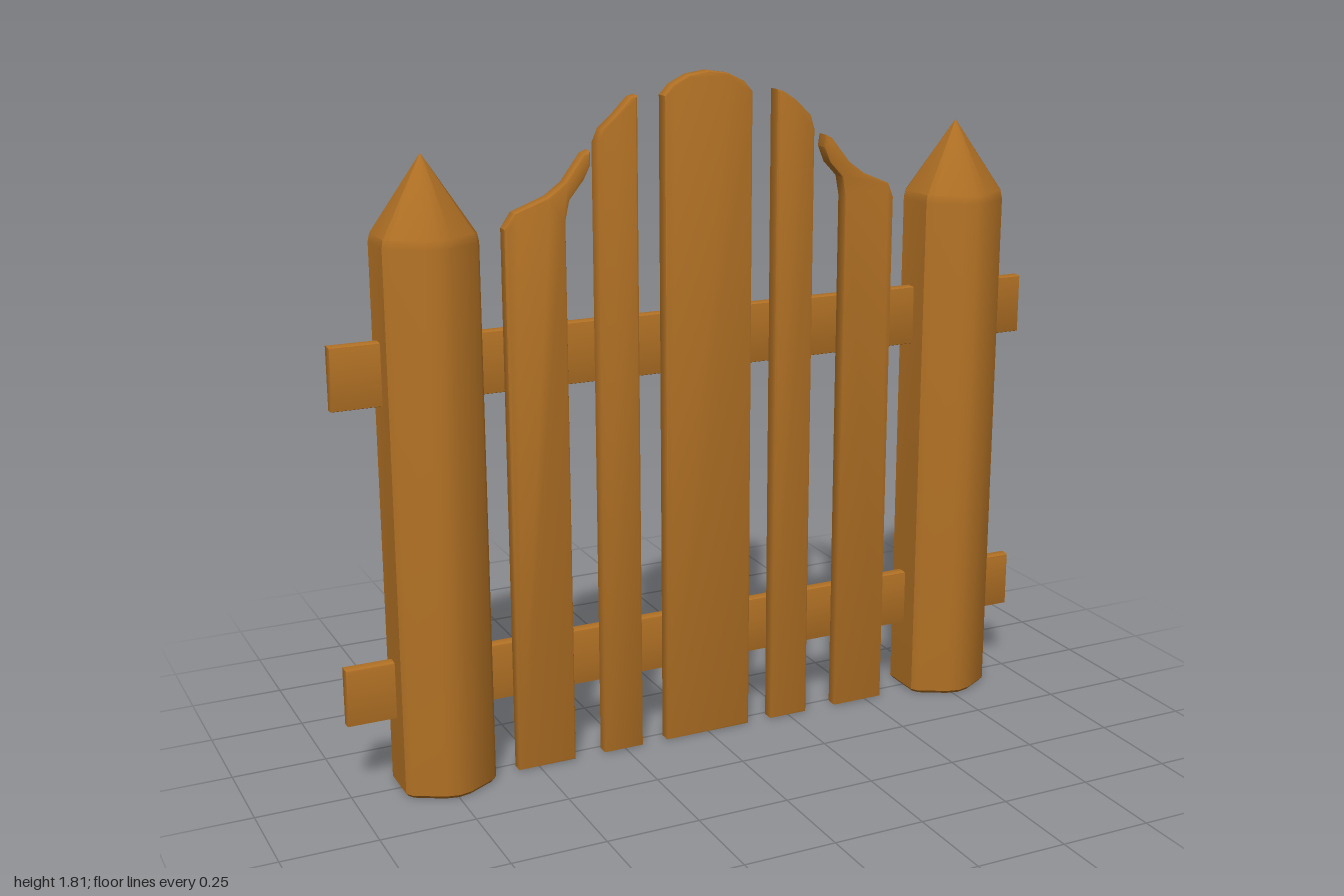
import * as THREE from 'three';
import { toCreasedNormals } from 'three/addons/utils/BufferGeometryUtils.js';

const wood = new THREE.MeshStandardMaterial({ color: 0xb07024 });
wood.name = 'wood';

// Flat board cut from an outline, with softly rounded edges
function board(name, points, zBack, zFront) {
  const b = 0.007;
  const shape = new THREE.Shape(points.map(([x, y]) => new THREE.Vector2(x, y)));
  const geo = new THREE.ExtrudeGeometry(shape, {
    depth: zFront - zBack - 2 * b, bevelEnabled: true, bevelThickness: b,
    bevelSize: b, bevelOffset: -b, bevelSegments: 2,
  });
  geo.translate(0, 0, zBack + b);
  const mesh = new THREE.Mesh(toCreasedNormals(geo, 0.6), wood);
  mesh.name = name;
  return mesh;
}

// Upright picket: straight sides and base, shaped top listed from right to left
function picket(name, x0, x1, top) {
  return board(name, [[x0, 0.003], [x1, 0.003], ...top], 0.003, 0.046);
}

// Six-sided post with worn corners and a pointed cap, lofted from rings
function post(name, cx) {
  const quarter = [[0.122, 0.058], [0.111, 0.075], [0.036, 0.117]];
  const back = [...quarter].reverse();
  const ring = [
    ...quarter, [0, 0.125], ...back.map(([x, z]) => [-x, z]),
    ...quarter.map(([x, z]) => [-x, -z]), [0, -0.125], ...back.map(([x, z]) => [x, -z]),
  ];
  const levels = [[0.003, 0], [0.003, 0.94], [0.012, 1], [1.43, 1], [1.452, 0.965], [1.628, 0.09], [1.645, 0]];
  const n = ring.length, pos = [], index = [];
  for (const [y, s] of levels) for (const [x, z] of ring) pos.push(x * s, y, z * s);
  for (let l = 0; l < levels.length - 1; l++) {
    for (let i = 0; i < n; i++) {
      const a = l * n + i, b = l * n + (i + 1) % n;
      if (levels[l][1] > 0) index.push(a, a + n, b);
      if (levels[l + 1][1] > 0) index.push(b, a + n, b + n);
    }
  }
  const geo = new THREE.BufferGeometry();
  geo.setAttribute('position', new THREE.Float32BufferAttribute(pos, 3));
  geo.setIndex(index);
  const mesh = new THREE.Mesh(toCreasedNormals(geo, 0.55), wood);
  mesh.position.x = cx;
  mesh.name = name;
  return mesh;
}

export function createModel() {
  const group = new THREE.Group();
  group.name = 'picketGate';

  // Posts
  group.add(post('rightPost', -0.75), post('leftPost', 0.768));

  // Horizontal rails running through both posts
  for (const [name, y0, y1] of [['lowerRail', 0.2, 0.355], ['upperRail', 1.03, 1.192]]) {
    group.add(board(name, [[-1, y0], [1, y0], [1, y1], [-1, y1]], -0.03, 0.007));
  }

  // Pickets
  group.add(
    picket('middlePicket', -0.125, 0.124, [
      [0.124, 1.755], [0.1, 1.782], [0.055, 1.804], [0, 1.812],
      [-0.055, 1.804], [-0.1, 1.782], [-0.125, 1.755],
    ]),
    picket('rightInnerPicket', -0.31, -0.198, [
      [-0.198, 1.76], [-0.215, 1.756], [-0.255, 1.715], [-0.295, 1.68], [-0.31, 1.645],
    ]),
    picket('leftInnerPicket', 0.194, 0.306, [
      [0.306, 1.65], [0.295, 1.685], [0.25, 1.728], [0.212, 1.752], [0.194, 1.757],
    ]),
    picket('rightOuterPicket', -0.556, -0.395, [
      [-0.395, 1.46], [-0.384, 1.51], [-0.345, 1.558], [-0.326, 1.595], [-0.327, 1.63],
      [-0.345, 1.622], [-0.395, 1.555], [-0.44, 1.522], [-0.53, 1.488], [-0.556, 1.45],
    ]),
    picket('leftOuterPicket', 0.4, 0.55, [
      [0.55, 1.455], [0.535, 1.492], [0.46, 1.523], [0.415, 1.555], [0.36, 1.622],
      [0.34, 1.632], [0.335, 1.6], [0.352, 1.558], [0.39, 1.518], [0.4, 1.465],
    ]),
  );
  return group;
}
